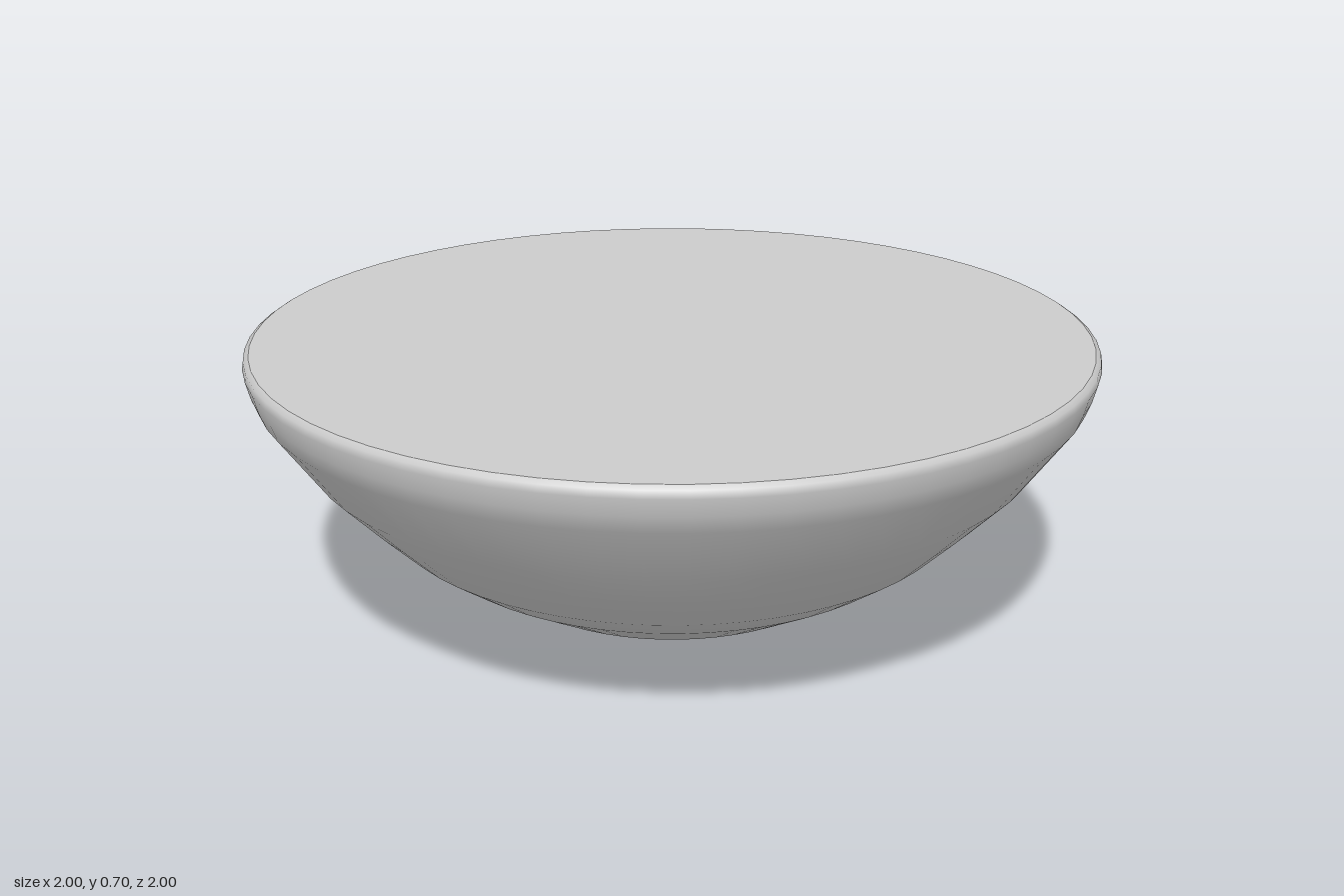
import * as THREE from 'three';

const SIDES = 64;
const BASE_RADIUS = 0.23;
const TOP = 0.705;

// Outer profile [radius, height], from the base up to the softened rim
const PROFILE = [
  [BASE_RADIUS, 0], [0.43, 0.1], [0.6, 0.2], [0.69, 0.265], [0.78, 0.355],
  [0.87, 0.45], [0.975, 0.6], [0.99, 0.64], [1, 0.68], [0.997, 0.697], [0.985, TOP],
];

export function createModel() {
  const group = new THREE.Group();
  group.name = 'bowl';
  const material = new THREE.MeshStandardMaterial({ color: 0xcccccc });

  const add = (name, geometry) => {
    const mesh = new THREE.Mesh(geometry, material);
    mesh.name = name;
    group.add(mesh);
    return mesh;
  };

  // Smooth curved wall
  const points = PROFILE.map(([r, y]) => new THREE.Vector2(r, y));
  add('bowlWall', new THREE.LatheGeometry(points, SIDES));

  // Flat discs closing the top and the foot, with crisp edges
  const top = add('topSurface', new THREE.CircleGeometry(0.985, SIDES));
  top.rotation.x = -Math.PI / 2;
  top.position.y = TOP;

  const foot = add('footSurface', new THREE.CircleGeometry(BASE_RADIUS, SIDES));
  foot.rotation.x = Math.PI / 2;

  return group;
}
